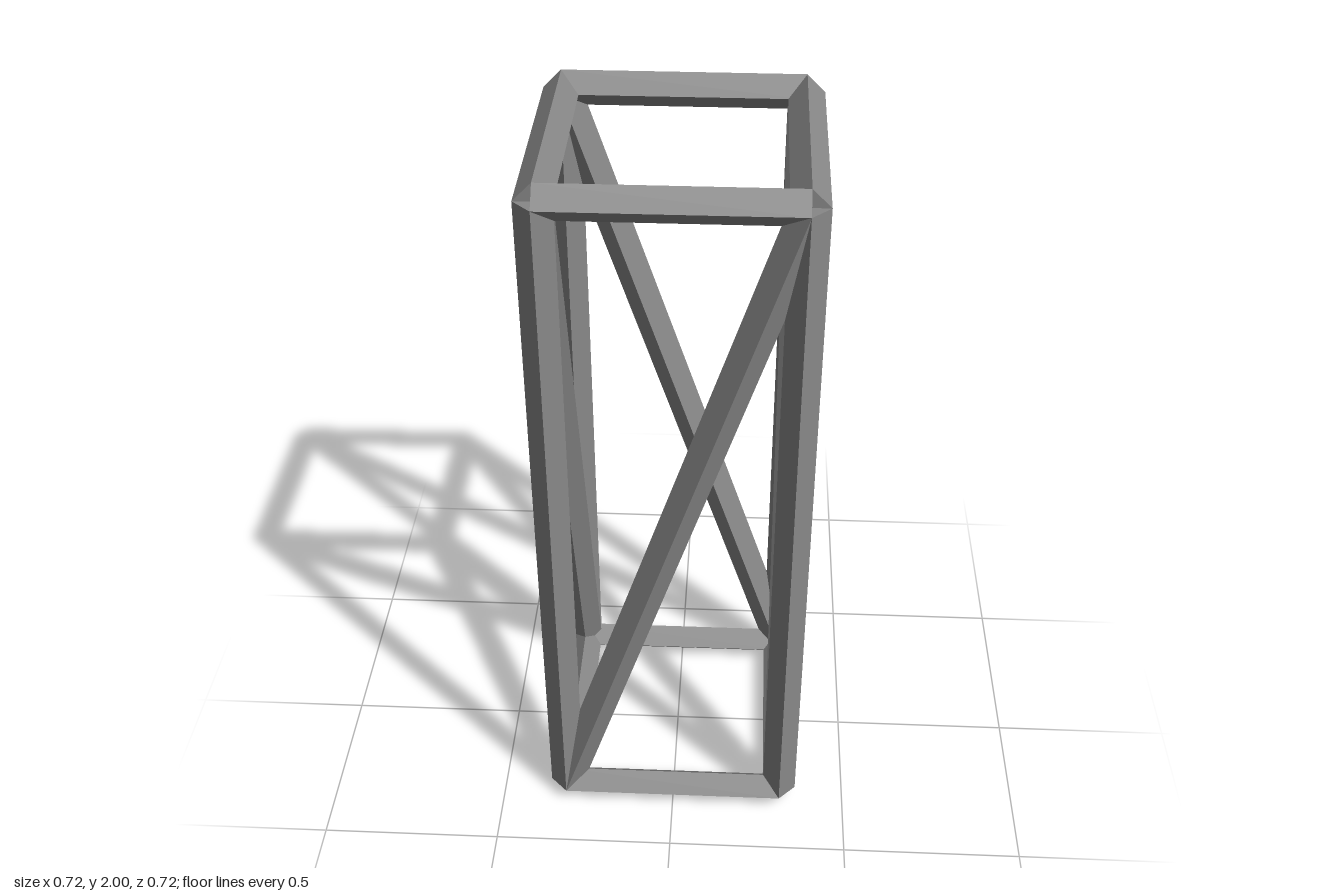
import * as THREE from 'three';

const R = 0.047;            // half diagonal of the square bars
const H = 0.312;            // corner distance from the centre line
const BOTTOM = R, TOP = 2 - R;
const UP = new THREE.Vector3(0, 1, 0);

const material = new THREE.MeshStandardMaterial({ color: 0x888888, flatShading: true });

// Four-sided bar, edge facing outward, with flat capped ends
function bar(name, a, b) {
  const dir = b.clone().sub(a);
  const mesh = new THREE.Mesh(new THREE.CylinderGeometry(R, R, dir.length(), 4), material);
  mesh.name = name;
  mesh.position.copy(a).add(b).multiplyScalar(0.5);
  mesh.quaternion.setFromUnitVectors(UP, dir.normalize());
  return mesh;
}

export function createModel() {
  const model = new THREE.Group();
  model.name = 'trussSegment';

  const a0 = new THREE.Vector3(-H, BOTTOM, H), a1 = new THREE.Vector3(-H, TOP, H);
  const b0 = new THREE.Vector3(H, BOTTOM, H), b1 = new THREE.Vector3(H, TOP, H);

  // One side repeated by quarter turns
  ['front', 'left', 'back', 'right'].forEach((sideName, i) => {
    const side = new THREE.Group();
    side.name = sideName + 'Side';
    side.add(
      bar('cornerPost', a0, a1),
      bar('bottomRail', a0, b0),
      bar('topRail', a1, b1),
      bar('diagonalBrace', a0, b1)
    );
    side.rotation.y = i * Math.PI / 2;
    model.add(side);
  });
  return model;
}
